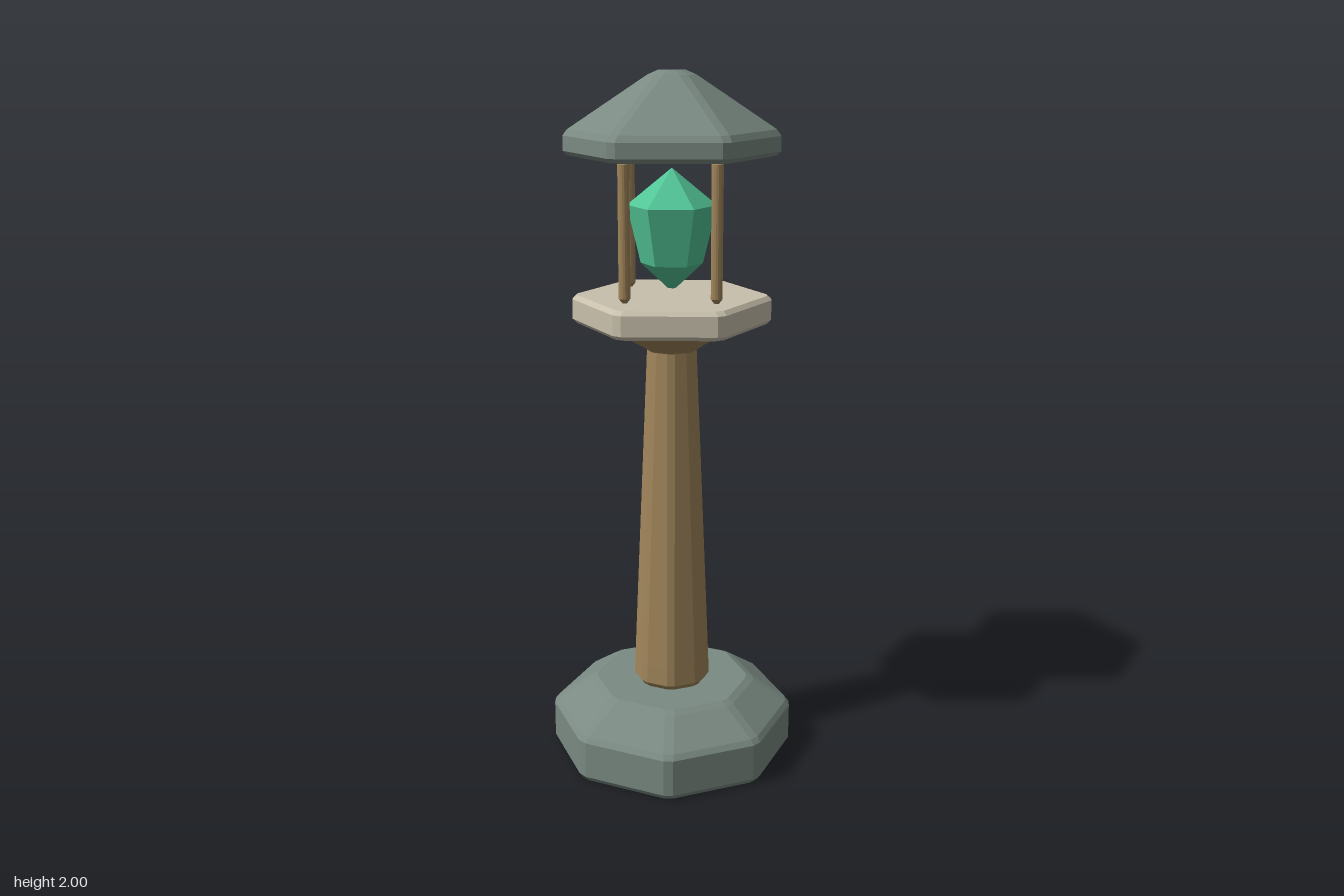
import * as THREE from 'three';

const material = (color) => new THREE.MeshStandardMaterial({ color, flatShading: true });

// Closed solid from stacked polygon rings [y, corner radius]; each corner is cut by a strip of half-width cut.
function facetedSolid(name, sides, cut, rings, mat) {
  const perRing = sides * 2;
  const profile = [[rings[0][0], 0], ...rings, [rings[rings.length - 1][0], 0]];
  const positions = [];
  for (const [y, r] of profile) {
    const c = Math.min(cut, r * 0.25);
    for (let k = 0; k < sides; k++) {
      const a = (k / sides) * Math.PI * 2;
      for (const s of [-c, c]) {
        positions.push(r * Math.cos(a) - s * Math.sin(a), y, r * Math.sin(a) + s * Math.cos(a));
      }
    }
  }
  const index = [];
  const last = profile.length - 2;
  for (let i = 0; i <= last; i++) {
    for (let j = 0; j < perRing; j++) {
      const a = i * perRing + j;
      const b = i * perRing + ((j + 1) % perRing);
      if (i > 0) index.push(a, a + perRing, b);
      if (i < last) index.push(b, a + perRing, b + perRing);
    }
  }
  const indexed = new THREE.BufferGeometry();
  indexed.setAttribute('position', new THREE.Float32BufferAttribute(positions, 3));
  indexed.setIndex(index);
  const geometry = indexed.toNonIndexed();
  geometry.computeVertexNormals();
  const mesh = new THREE.Mesh(geometry, mat);
  mesh.name = name;
  return mesh;
}

export function createModel() {
  const model = new THREE.Group();
  model.name = 'lanternTower';
  const stone = material(0x7a8a82);
  const bronze = material(0xa0855a);
  const pale = material(0xc8c0ac);
  const gem = material(0x52c496);

  // Octagonal foot with sloped shoulders
  model.add(facetedSolid('base', 8, 0.014,
    [[0, 0.346], [0.016, 0.358], [0.125, 0.358], [0.14, 0.346], [0.207, 0.247], [0.217, 0.225]], stone));

  // Tapered column
  model.add(facetedSolid('column', 8, 0.011,
    [[0.215, 0.1], [0.232, 0.112], [0.285, 0.11], [1.24, 0.07], [1.25, 0.06]], bronze));

  // Flared bracket below the gallery
  model.add(facetedSolid('bracket', 8, 0.008,
    [[1.235, 0.072], [1.247, 0.09], [1.305, 0.195], [1.315, 0.2]], bronze));

  // Hexagonal gallery
  model.add(facetedSolid('gallery', 6, 0.013,
    [[1.31, 0.266], [1.322, 0.279], [1.378, 0.279], [1.39, 0.266]], pale));

  // Four thin posts at the diagonals
  const posts = new THREE.Group();
  posts.name = 'posts';
  for (const x of [-0.125, 0.125]) {
    for (const z of [-0.125, 0.125]) {
      const post = facetedSolid('post', 8, 0.003,
        [[1.39, 0.007], [1.402, 0.016], [1.762, 0.016], [1.775, 0.007]], bronze);
      post.position.set(x, 0, z);
      posts.add(post);
    }
  }
  model.add(posts);

  // Floating six-sided crystal
  model.add(facetedSolid('crystal', 6, 0,
    [[1.41, 0.012], [1.48, 0.087], [1.64, 0.125], [1.74, 0.002]], gem));

  // Hexagonal roof with bevelled eaves and a small flat cap
  model.add(facetedSolid('roof', 6, 0.013,
    [[1.775, 0.284], [1.787, 0.297], [1.828, 0.297], [1.845, 0.284], [1.988, 0.066], [2, 0.038]], stone));

  return model;
}
